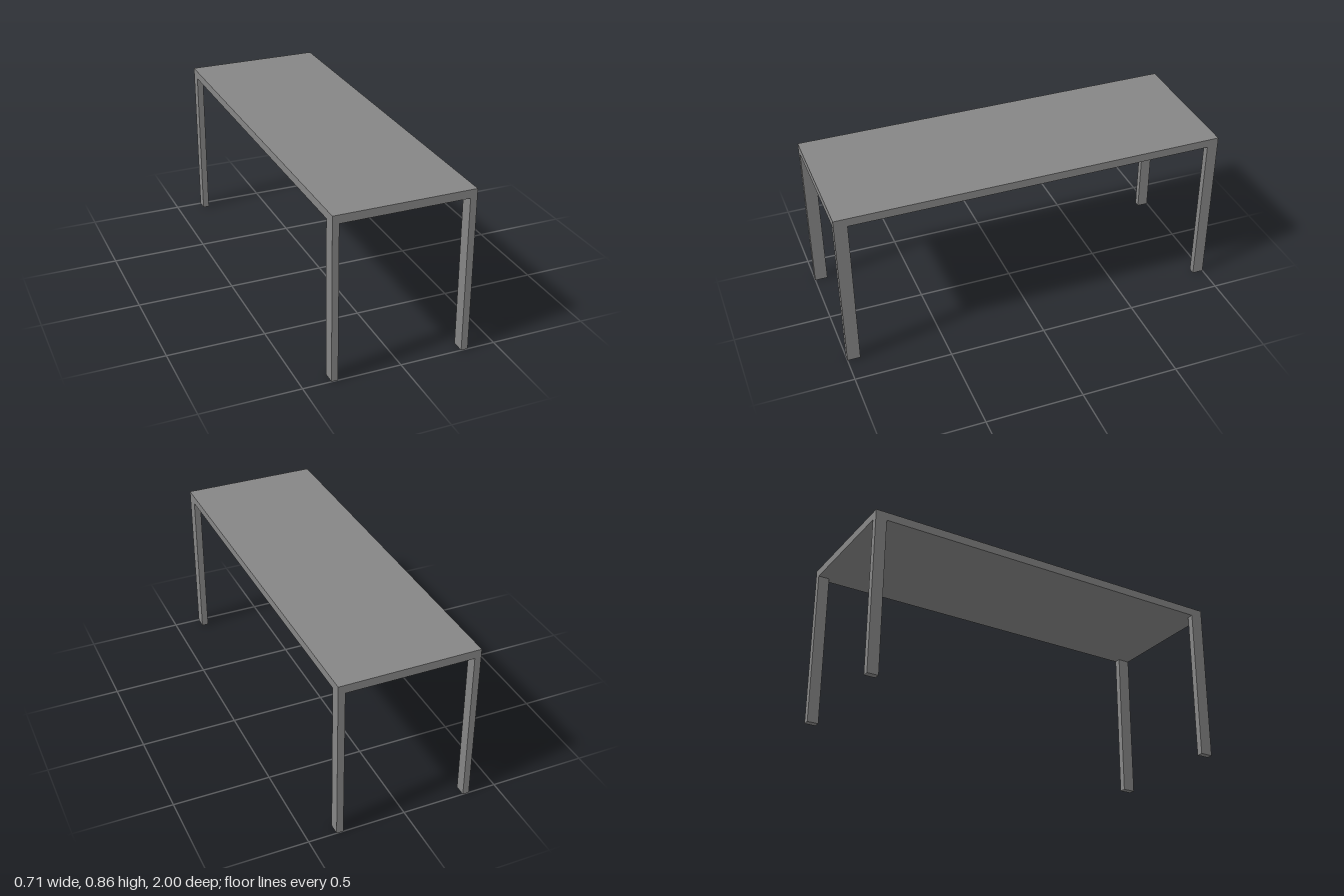
import * as THREE from 'three';

const W = 0.713, L = 2, H = 0.858, T = 0.043;

export function createModel() {
  const group = new THREE.Group();
  const material = new THREE.MeshStandardMaterial({ color: 0x868686 });

  const addBox = (name, w, h, d, x, y, z) => {
    const mesh = new THREE.Mesh(new THREE.BoxGeometry(w, h, d), material);
    mesh.name = name;
    mesh.position.set(x, y, z);
    group.add(mesh);
  };

  // Flat slab top
  addBox('tableTop', W, T, L, 0, H - T / 2, 0);

  // Four legs, flush with the corners of the top
  const legH = H - T;
  for (const [side, sx, w] of [['Left', 1, 0.035], ['Right', -1, 0.033]]) {
    for (const [end, sz, d] of [['front', 1, 0.067], ['back', -1, 0.058]]) {
      addBox(`${end}${side}Leg`, w, legH, d, sx * (W - w) / 2, legH / 2, sz * (L - d) / 2);
    }
  }
  return group;
}
